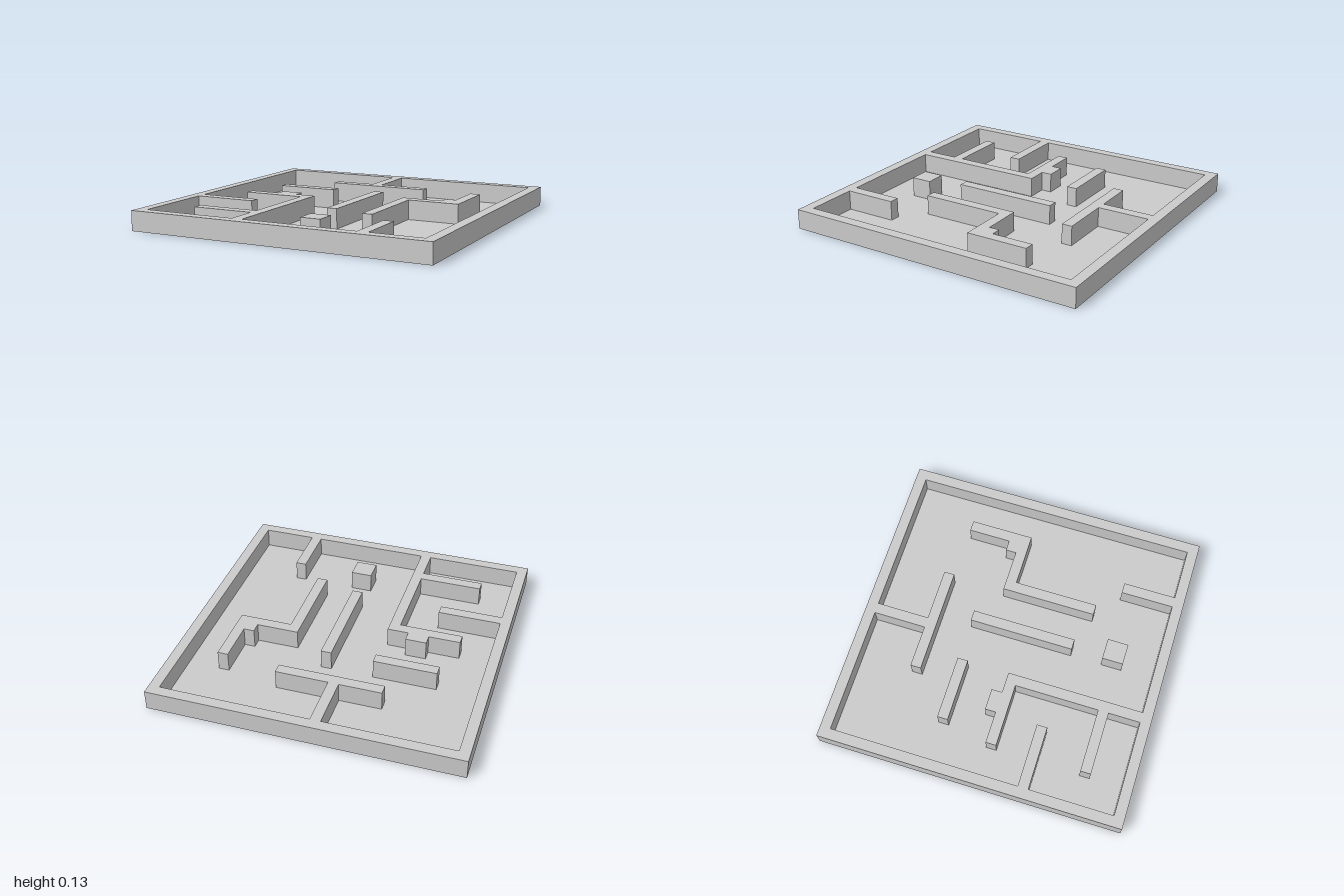
import * as THREE from 'three';
import { mergeGeometries } from 'three/addons/utils/BufferGeometryUtils.js';

const CELLS = 29;      // the plan is drawn on a 29 x 29 grid
const HEIGHT = 0.13;
const toUnit = (k) => (k * 2) / CELLS - 1;

// Outlines in grid cells [x, z], clockwise seen from above
const rect = (x0, z0, x1, z1) => [[x0, z0], [x1, z0], [x1, z1], [x0, z1]];
const outer = rect(0, 0, 29, 29);
const room = [
  [1, 1], [13, 1], [13, 6], [9, 6], [9, 7], [19, 7], [19, 6], [14, 6], [14, 1], // back T wall
  [28, 1], [28, 28], [23, 28], [23, 23], [22, 23], [22, 28],                    // front stub
  [11, 28], [11, 15], [9, 15], [9, 14], [7, 14], [7, 15], [4, 15], [4, 16],     // branching wall
  [10, 16], [10, 24], [4, 24], [4, 25], [10, 25], [10, 28],
  [1, 28], [1, 20], [7, 20], [7, 19], [1, 19],                                  // side stub
];
const islands = {
  shortWall: rect(5, 10, 11, 11),
  longWall: rect(15, 10, 16, 20),
  pillar: rect(15, 23, 17, 25),
  steppedWall: [[24, 7], [25, 7], [25, 13], [20, 13], [20, 21], [19, 21], [19, 12], [23, 12], [23, 11], [24, 11]],
};

// Horizontal sheet at height y, facing up
function sheet(outline, holes, y) {
  const points = (loop) => loop.map(([x, z]) => new THREE.Vector2(toUnit(x), -toUnit(z)));
  const shape = new THREE.Shape(points(outline));
  shape.holes = holes.map((h) => new THREE.Path(points(h)));
  return new THREE.ShapeGeometry(shape).rotateX(-Math.PI / 2).translate(0, y, 0).toNonIndexed();
}

// Vertical faces along a closed outline
function sides(loop) {
  const pos = [];
  const uv = [];
  loop.forEach(([ax, az], i) => {
    const [bx, bz] = loop[(i + 1) % loop.length];
    const corner = (x, z, y) => [toUnit(x), y, toUnit(z)];
    const a0 = corner(ax, az, 0), a1 = corner(ax, az, HEIGHT);
    const b0 = corner(bx, bz, 0), b1 = corner(bx, bz, HEIGHT);
    pos.push(...a0, ...a1, ...b1, ...a0, ...b1, ...b0);
    uv.push(0, 0, 0, 1, 1, 1, 0, 0, 1, 1, 1, 0);
  });
  const g = new THREE.BufferGeometry();
  g.setAttribute('position', new THREE.Float32BufferAttribute(pos, 3));
  g.setAttribute('uv', new THREE.Float32BufferAttribute(uv, 2));
  g.computeVertexNormals();
  return g;
}

export function createModel() {
  const group = new THREE.Group();
  group.name = 'maze';
  const material = new THREE.MeshStandardMaterial({ color: 0xcccccc, flatShading: true, side: THREE.DoubleSide });
  const add = (name, ...parts) => {
    const mesh = new THREE.Mesh(mergeGeometries(parts), material);
    mesh.name = name;
    group.add(mesh);
  };

  // Floor sheet, open beneath the walls
  add('floor', sheet(room, Object.values(islands), 0));

  // Outer wall with the walls attached to it, hollow from below
  add('outerWall', sheet(outer, [room], HEIGHT), sides(outer), sides([...room].reverse()));

  // Free-standing walls
  for (const [name, loop] of Object.entries(islands)) add(name, sheet(loop, [], HEIGHT), sides(loop));

  return group;
}
